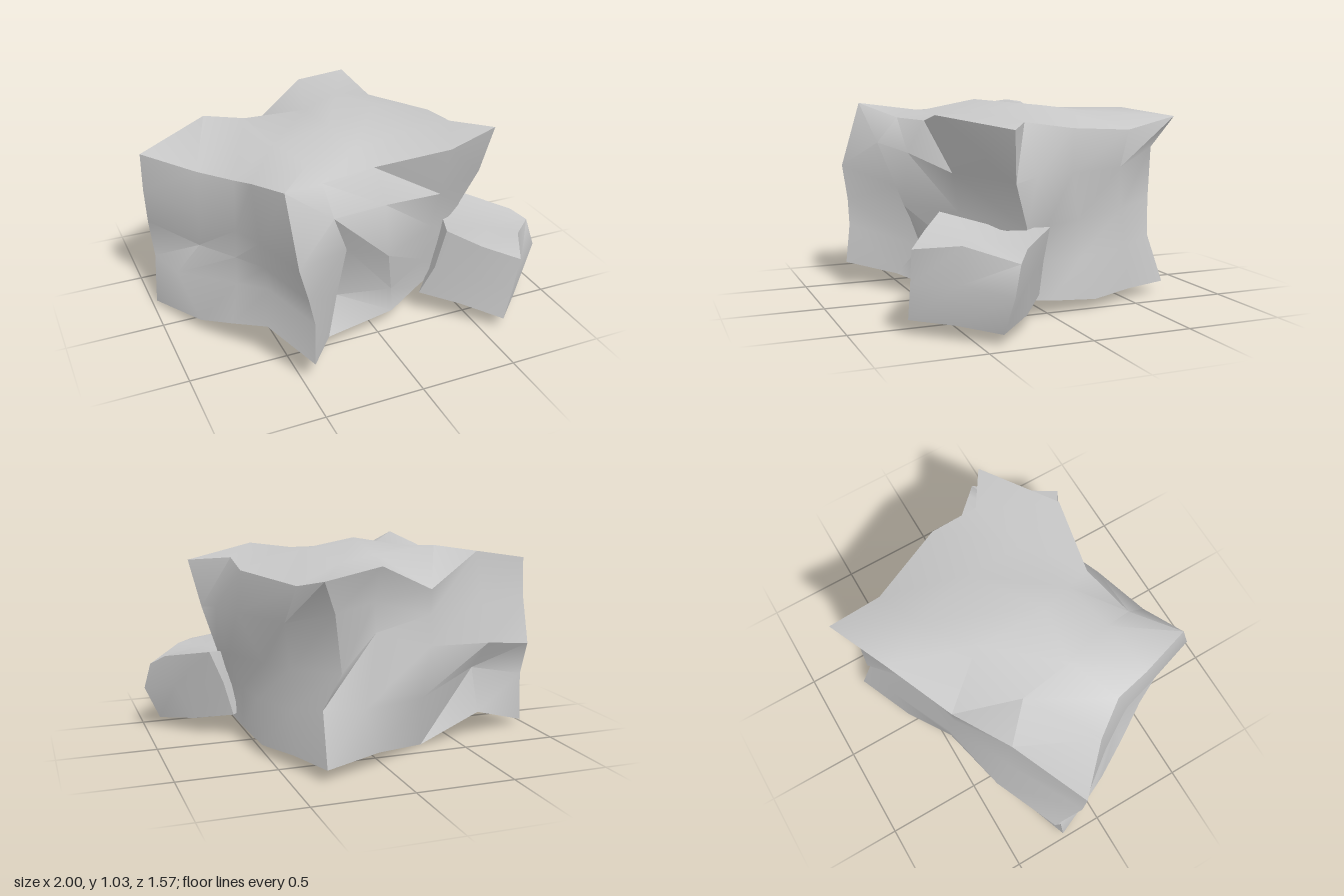
import * as THREE from 'three';
import { toCreasedNormals } from 'three/addons/utils/BufferGeometryUtils.js';

const V = ([x, y, z]) => new THREE.Vector3(x, y, z);

// Blended surface patch spanning four border polylines, with optional moulded interior points
function patch(out, bottom, top, left, right, moulded = {}) {
  const n = bottom.length - 1;
  const at = (i, j) => {
    if (moulded[`${i},${j}`]) return V(moulded[`${i},${j}`]);
    if (j === 0) return bottom[i];
    if (j === n) return top[i];
    if (i === 0) return left[j];
    if (i === n) return right[j];
    const u = i / n, v = j / n;
    return new THREE.Vector3()
      .addScaledVector(bottom[i], 1 - v).addScaledVector(top[i], v)
      .addScaledVector(left[j], 1 - u).addScaledVector(right[j], u)
      .addScaledVector(bottom[0], -(1 - u) * (1 - v)).addScaledVector(bottom[n], -u * (1 - v))
      .addScaledVector(top[0], -(1 - u) * v).addScaledVector(top[n], -u * v);
  };
  for (let i = 0; i < n; i++) {
    for (let j = 0; j < n; j++) {
      const a = at(i, j), b = at(i + 1, j), c = at(i + 1, j + 1), d = at(i, j + 1);
      const corners = moulded.flip ? [a, b, d, b, c, d] : [a, b, c, a, c, d];
      for (const p of corners) out.push(p.x, p.y, p.z);
    }
  }
}

// Warped block: two closed rings (front-left corner, front, right, back, left) joined by four corner posts
function warpedBlock(topRing, bottomRing, posts, moulded = {}) {
  const n = topRing.length / 4;
  const T = topRing.map(V), B = bottomRing.map(V);
  const side = (ring, k) => Array.from({ length: n + 1 }, (_, i) => ring[(k * n + i) % (4 * n)]);
  const rev = (line) => [...line].reverse();
  const post = posts.map((p, k) => [B[k * n], ...p.map(V), T[k * n]]);
  const out = [];
  ['front', 'right', 'back', 'left'].forEach((name, k) =>
    patch(out, side(B, k), side(T, k), post[k], post[(k + 1) % 4], moulded[name]));
  patch(out, side(T, 0), rev(side(T, 2)), rev(side(T, 3)), side(T, 1), moulded.top);
  patch(out, rev(side(B, 2)), side(B, 0), side(B, 3), rev(side(B, 1)), moulded.underside);
  const geo = new THREE.BufferGeometry();
  geo.setAttribute('position', new THREE.Float32BufferAttribute(out, 3));
  return toCreasedNormals(geo, 0.75);
}

export function createModel() {
  const group = new THREE.Group();
  group.name = 'rock';
  const stone = new THREE.MeshStandardMaterial({ color: 0xc8c8c8 });
  stone.name = 'grey stone';

  // Large boulder
  const boulder = new THREE.Mesh(warpedBlock(
    [
      [-0.55, 1, 0.67], [-0.31, 0.93, 0.52], [-0.02, 0.93, 0.46], [0.36, 0.98, 0.525],
      [0.76, 0.93, 0.28], [0.56, 0.95, 0.15], [0.57, 0.915, -0.1], [0.4, 0.885, -0.5],
      [0.36, 0.945, -0.79], [0.03, 0.98, -0.65], [-0.3, 0.83, -0.48], [-0.62, 0.99, -0.33],
      [-1, 0.92, -0.15], [-0.78, 0.88, 0.07], [-0.65, 0.89, 0.25], [-0.62, 0.945, 0.42],
    ],
    [
      [-0.46, 0.13, 0.78], [-0.29, 0.08, 0.54], [0.1, 0.08, 0.455], [0.28, 0.12, 0.37],
      [0.57, 0.1, 0.17], [0.55, 0.075, 0], [0.515, 0.05, -0.26], [0.42, 0.06, -0.5],
      [0.336, 0.06, -0.75], [0.03, 0.07, -0.62], [-0.3, 0, -0.38], [-0.64, 0.135, -0.355],
      [-0.98, 0.02, -0.21], [-0.83, 0.07, 0.13], [-0.72, 0.14, 0.32], [-0.6, 0.21, 0.51],
    ],
    [
      [[-0.45, 0.34, 0.76], [-0.48, 0.48, 0.76], [-0.53, 0.66, 0.776]],
      [[0.6, 0.27, 0.18], [0.64, 0.46, 0.17], [0.7, 0.68, 0.25]],
      [[0.327, 0.32, -0.66], [0.25, 0.5, -0.705], [0.28, 0.78, -0.7]],
      [[-0.96, 0.29, -0.23], [-0.97, 0.47, -0.28], [-1, 0.72, -0.16]],
    ],
    {
      front: {
        flip: true,
        '1,1': [-0.2, 0.24, 0.43], '2,1': [0.09, 0.22, 0.46], '3,1': [0.33, 0.28, 0.36],
        '1,2': [-0.2, 0.57, 0.55], '2,2': [0.01, 0.5, 0.58], '3,2': [0.34, 0.5, 0.4],
        '1,3': [-0.3, 0.8, 0.634], '2,3': [0, 0.77, 0.555], '3,3': [0.36, 0.7, 0.44],
      },
      right: {
        '1,2': [0.61, 0.46, 0.05], '1,3': [0.65, 0.7, 0.12], '2,3': [0.59, 0.7, -0.09],
        '3,1': [0.42, 0.28, -0.48], '3,2': [0.42, 0.48, -0.45], '3,3': [0.44, 0.7, -0.43],
      },
      back: {
        '1,1': [0.117, 0.3, -0.65], '2,1': [-0.25, 0.28, -0.49], '3,1': [-0.64, 0.36, -0.27],
        '1,2': [0.024, 0.65, -0.56], '2,2': [-0.29, 0.55, -0.51], '3,2': [-0.65, 0.525, -0.43],
        '1,3': [0.04, 0.8, -0.575], '2,3': [-0.3, 0.7, -0.47], '3,3': [-0.64, 0.76, -0.36],
      },
      left: { '1,1': [-0.9, 0.3, 0] },
      top: {
        '1,1': [-0.33, 0.965, 0.38], '2,1': [-0.06, 0.97, 0.32], '3,1': [0.25, 0.98, 0.24],
        '1,2': [-0.4, 0.98, 0.12], '2,2': [-0.12, 1.03, 0.15], '3,2': [0.23, 1.01, -0.08],
        '1,3': [-0.45, 1.01, -0.17], '2,3': [-0.1, 0.98, -0.22], '3,3': [0.15, 0.97, -0.4],
      },
      underside: {
        '2,1': [-0.03, 0.08, -0.28], '3,2': [0.23, 0.03, -0.2],
        '1,2': [-0.38, 0.12, 0.08], '2,2': [-0.05, 0.1, 0], '2,3': [0, 0.13, 0.23],
      },
    }), stone);
  boulder.name = 'boulder';
  group.add(boulder);

  // Small stone leaning against the front right
  const small = new THREE.Mesh(warpedBlock(
    [
      [0.37, 0.52, 0.51], [0.51, 0.46, 0.63], [0.67, 0.41, 0.74], [0.78, 0.43, 0.54],
      [0.97, 0.37, 0.34], [0.9, 0.42, 0.28], [0.7, 0.47, 0.08], [0.5, 0.44, 0.23],
    ],
    [
      [0.27, 0.13, 0.43], [0.43, 0.11, 0.58], [0.6, 0.07, 0.74], [0.77, 0.07, 0.57],
      [0.92, 0.05, 0.4], [0.76, 0.08, 0.22], [0.58, 0.12, 0.08], [0.42, 0.13, 0.25],
    ],
    [[[0.33, 0.3, 0.48]], [[0.64, 0.24, 0.74]], [[1, 0.23, 0.38]], [[0.63, 0.3, 0.08]]]), stone);
  small.name = 'smallStone';
  group.add(small);

  return group;
}
